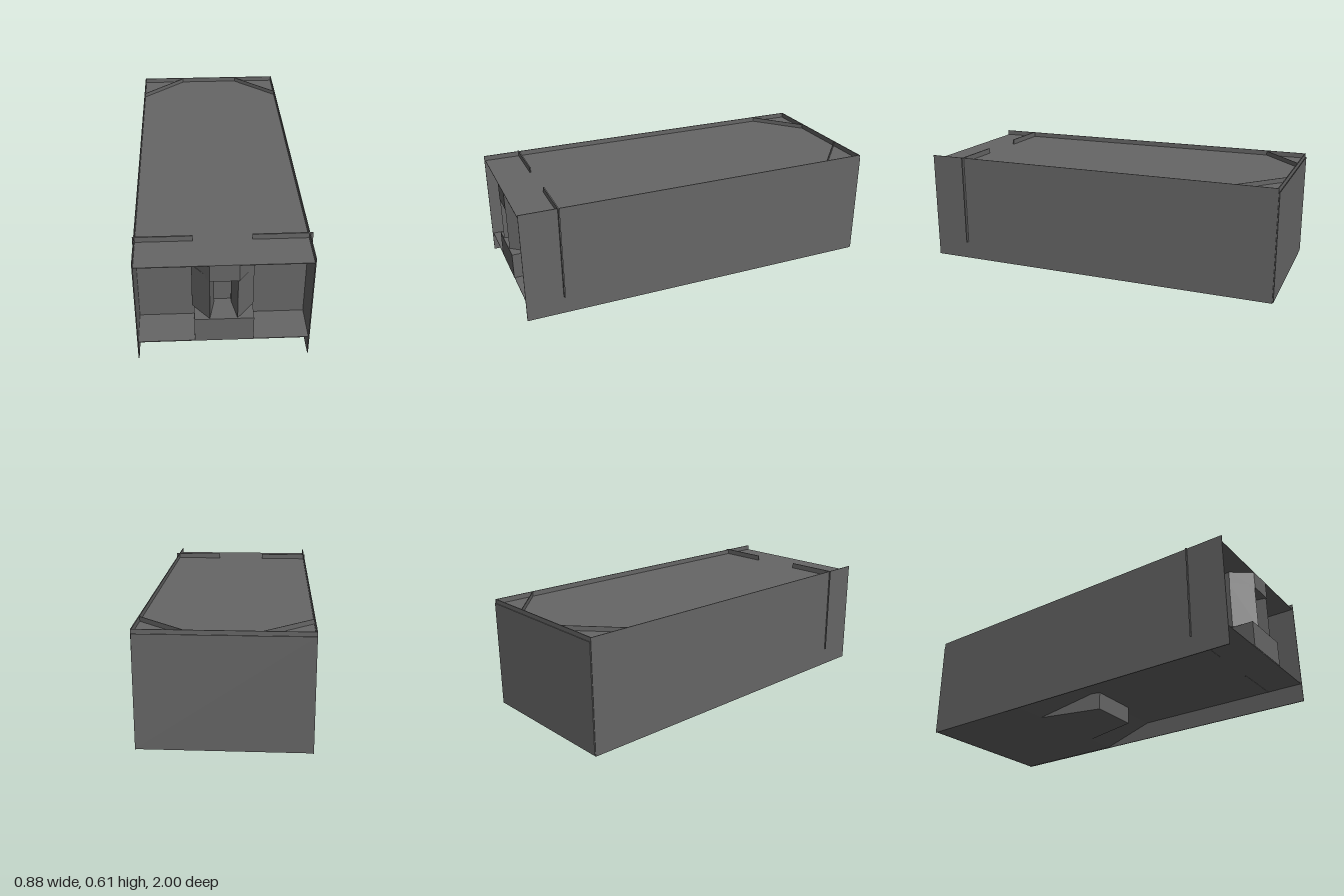
import * as THREE from 'three';

export function createModel() {
  const group = new THREE.Group();
  const grey = new THREE.MeshStandardMaterial({ color: 0x666666 });
  grey.name = 'grey';

  const add = (name, geometry) => {
    const mesh = new THREE.Mesh(geometry, grey);
    mesh.name = name;
    group.add(mesh);
    return mesh;
  };
  // Box given by its limits on each axis
  const box = (name, x0, x1, y0, y1, z0, z1) =>
    add(name, new THREE.BoxGeometry(x1 - x0, y1 - y0, z1 - z0)
      .translate((x0 + x1) / 2, (y0 + y1) / 2, (z0 + z1) / 2));
  const extrude = (points, depth) => new THREE.ExtrudeGeometry(
    new THREE.Shape(points.map(([a, b]) => new THREE.Vector2(a, b))),
    { depth, bevelEnabled: false });
  // Upright prism from an outline of [x, z] points
  const prism = (name, outline, y0, y1) =>
    add(name, extrude(outline.map(([x, z]) => [x, -z]), y1 - y0)
      .rotateX(-Math.PI / 2).translate(0, y0, 0));

  const L = -0.432, R = 0.418; // inner limits of the hull

  // Thin side walls, roof set below their rims, and back wall
  box('rightWall', L - 0.002, L + 0.003, 0, 0.603, -0.995, 1);
  box('leftWall', R - 0.003, R + 0.002, 0, 0.603, -0.995, 1);
  box('roof', L, R, 0.572, 0.576, -0.993, 0.995);
  box('backWall', L, R, 0.005, 0.603, -0.993, -0.988);
  box('backPlate', L, R, 0.005, 0.582, -1, -0.996);

  // Floor: raised at the front, then ramping down to the rear underside
  const floorProfile = [[0.995, 0.102], [-0.02, 0.102], [-0.325, 0.003],
    [-0.99, 0.003], [-0.99, 0.106], [0.995, 0.106]];
  add('floor', extrude(floorProfile, R - L).rotateY(-Math.PI / 2).translate(R, 0, 0));

  // Flared block between the ramps
  prism('undersideBlock', [[-0.145, 0.03], [0.137, 0.03], [0.23, -0.325],
    [-0.237, -0.325]], 0.003, 0.104);

  // Front panels poking slightly past the roof and side walls
  box('rightFrontPanel', -0.44, -0.15, 0.1, 0.605, 0.795, 0.802);
  box('leftFrontPanel', 0.14, 0.435, 0.1, 0.605, 0.795, 0.802);

  // Central front tower: base, two columns, recessed back and head block
  box('towerBase', -0.15, 0.141, 0.106, 0.245, 0.79, 0.997);
  prism('rightColumn', [[-0.075, 0.993], [-0.16, 0.89], [-0.16, 0.79],
    [-0.05, 0.79], [-0.05, 0.87]], 0.245, 0.5);
  prism('leftColumn', [[0.06, 0.993], [0.145, 0.89], [0.145, 0.79],
    [0.035, 0.79], [0.035, 0.87]], 0.245, 0.48);
  box('recessBack', -0.052, 0.037, 0.245, 0.48, 0.79, 0.85);
  box('recessLedge', -0.052, 0.037, 0.373, 0.388, 0.84, 0.865);
  prism('towerHead', [[-0.075, 0.995], [0.066, 0.995], [0.145, 0.89],
    [0.145, 0.79], [-0.155, 0.79], [-0.155, 0.89]], 0.48, 0.573);

  // Diagonal braces across the rear corners
  for (const [wallX, backX, name] of [[L, -0.18, 'rightBrace'], [R, 0.17, 'leftBrace']]) {
    prism(name, [[wallX, -0.77], [backX, -0.99], [backX, -0.985], [wallX, -0.765]], 0.1, 0.6);
  }

  return group;
}
